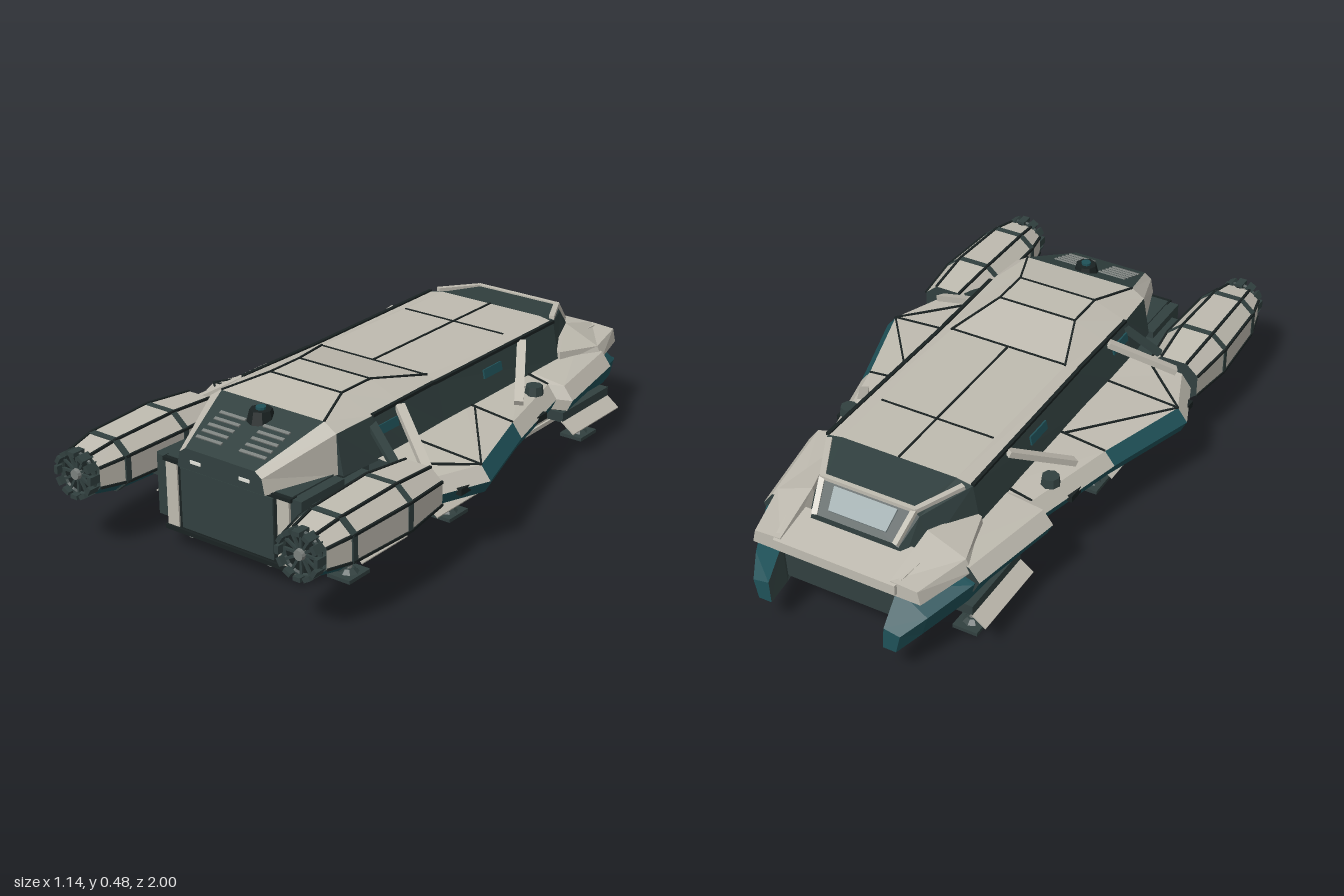
import * as THREE from 'three';

const paint = (name, color) => {
  const m = new THREE.MeshStandardMaterial({ color });
  m.name = name;
  m.flatShading = true;
  return m;
};

export function createModel() {
  const model = new THREE.Group();
  model.name = 'dropship';
  const light = paint('pale hull', 0xbfbbb0), dark = paint('dark hull', 0x31403f);
  const teal = paint('teal trim', 0x1f5158), black = paint('seam black', 0x1a2222);
  const metal = paint('grey metal', 0x7b807d), glass = paint('window glass', 0x8b9a9c);
  const lamp = paint('lamp white', 0xe2e2da);

  const add = (name, geo, mat, x = 0, y = 0, z = 0) => {
    const m = new THREE.Mesh(geo, mat);
    m.name = name;
    m.position.set(x, y, z);
    model.add(m);
    return m;
  };
  const box = (name, mat, w, h, d, x, y, z) => add(name, new THREE.BoxGeometry(w, h, d), mat, x, y, z);
  const cyl = (name, mat, r0, r1, h, n, x, y, z) => add(name, new THREE.CylinderGeometry(r0, r1, h, n), mat, x, y, z);
  // Square bar running between two points
  const bar = (name, mat, a, b, w = 0.006, h = 0.006) => {
    const p = new THREE.Vector3(...a), q = new THREE.Vector3(...b);
    const mid = p.clone().add(q).multiplyScalar(0.5);
    const m = box(name, mat, w, h, p.distanceTo(q), mid.x, mid.y, mid.z);
    m.lookAt(q);
    return m;
  };
  // Closed skin through rings of points; one material per side plus one for the caps
  const loft = (name, rings, sides, cap) => {
    const buckets = new Map();
    let volume = 0;
    const tri = (mat, a, b, c) => {
      if (!buckets.has(mat)) buckets.set(mat, []);
      buckets.get(mat).push([a, b, c]);
      volume += new THREE.Vector3(...a).dot(new THREE.Vector3(...b).cross(new THREE.Vector3(...c)));
    };
    const n = rings[0].length, last = rings[rings.length - 1];
    for (let r = 0; r + 1 < rings.length; r++) for (let i = 0; i < n; i++) {
      const j = (i + 1) % n, A = rings[r], B = rings[r + 1], mat = sides[i % sides.length];
      tri(mat, A[i], A[j], B[j]);
      tri(mat, A[i], B[j], B[i]);
    }
    for (let i = 1; i + 1 < n; i++) {
      tri(cap, rings[0][0], rings[0][i + 1], rings[0][i]);
      tri(cap, last[0], last[i], last[i + 1]);
    }
    const geo = new THREE.BufferGeometry(), pos = [], mats = [...buckets.keys()];
    mats.forEach((mat, k) => {
      const tris = buckets.get(mat);
      geo.addGroup(pos.length / 3, tris.length * 3, k);
      for (const [a, b, c] of tris) pos.push(...a, ...(volume < 0 ? [...c, ...b] : [...b, ...c]));
    });
    geo.setAttribute('position', new THREE.Float32BufferAttribute(pos, 3));
    geo.computeVertexNormals();
    return add(name, geo, mats);
  };
  // Symmetric ring from half-profile [x, y] points, bottom to top
  const sym = (z, pts) => [...pts.map(([x, y]) => [x, y, z]), ...pts.slice().reverse().map(([x, y]) => [-x, y, z])];

  // Cargo hull with loading ramp
  box('cargoHull', dark, 0.49, 0.23, 1.57, 0, 0.19, 0);
  box('rampFrame', black, 0.39, 0.225, 0.008, 0, 0.182, 0.788);
  box('ramp', dark, 0.36, 0.2, 0.012, 0, 0.185, 0.792);
  box('rampSill', black, 0.5, 0.014, 0.03, 0, 0.07, 0.785);
  box('rampLintel', black, 0.5, 0.012, 0.03, 0, 0.297, 0.785);

  // Cabin shell
  const shell = [dark, light, light, light, dark, dark];
  loft('cabin', [
    sym(-0.58, [[0.28, 0.3], [0.255, 0.432], [0.2, 0.442]]),
    sym(0.08, [[0.28, 0.3], [0.25, 0.432], [0.21, 0.445]]),
    sym(0.28, [[0.285, 0.3], [0.25, 0.435], [0.14, 0.48]]),
    sym(0.42, [[0.285, 0.3], [0.255, 0.435], [0.14, 0.48]]),
    sym(0.58, [[0.27, 0.3], [0.245, 0.43], [0.2, 0.458]]),
  ], shell, dark);
  loft('ventBlock', [
    sym(0.58, [[0.25, 0.3], [0.245, 0.43], [0.2, 0.458]]),
    sym(0.82, [[0.17, 0.3], [0.16, 0.35], [0.135, 0.368]]),
  ], [light, light, dark, light, light, dark], dark);

  // Roof seams
  bar('roofSeam', black, [0, 0.443, -0.58], [0, 0.446, 0.08]);
  for (const [z, x, y] of [[-0.36, 0.2, 0.443], [0.085, 0.21, 0.446], [0.28, 0.14, 0.48], [0.42, 0.14, 0.48]]) {
    bar('roofSeam', black, [-x, y, z], [x, y, z]);
  }

  // Vent louvres, lamps and sensor turret
  for (const s of [-1, 1]) {
    for (let i = 0; i < 5; i++) {
      const z = 0.66 + i * 0.027;
      box('louvre', metal, 0.1, 0.006, 0.011, s * 0.085, 0.459 - (z - 0.58) * 0.375, z).rotation.x = 0.36;
    }
    box('lamp', lamp, 0.04, 0.01, 0.008, s * 0.095, 0.33, 0.82);
  }
  cyl('turretBase', black, 0.035, 0.045, 0.04, 8, 0, 0.445, 0.63);
  cyl('turretLens', teal, 0.016, 0.016, 0.01, 10, 0, 0.468, 0.63);

  // Cockpit with wraparound window
  loft('cockpit', [
    sym(-0.58, [[0.28, 0.3], [0.255, 0.432], [0.2, 0.442]]),
    sym(-0.75, [[0.21, 0.3], [0.175, 0.405], [0.15, 0.425]]),
    sym(-0.83, [[0.17, 0.3], [0.15, 0.335], [0.13, 0.345]]),
  ], [dark], dark);
  loft('windscreen', [
    [[-0.11, 0.418, -0.765], [0.11, 0.418, -0.765], [0.11, 0.41, -0.762], [-0.11, 0.41, -0.762]],
    [[-0.1, 0.366, -0.817], [0.1, 0.366, -0.817], [0.1, 0.358, -0.813], [-0.1, 0.358, -0.813]],
  ], [glass], glass);
  bar('browFrame', light, [-0.165, 0.425, -0.75], [0.165, 0.425, -0.75], 0.016, 0.012);

  // Nose deck
  loft('noseDeck', [
    sym(-0.8, [[0.24, 0.27], [0.24, 0.33]]),
    sym(-0.95, [[0.21, 0.27], [0.21, 0.305]]),
  ], [light, light, light, dark], light);
  box('noseBulkhead', dark, 0.42, 0.15, 0.16, 0, 0.22, -0.83);

  for (const s of [-1, 1]) {
    const P = (x, y, z) => [s * x, y, z];
    const side = (s > 0 ? 'left' : 'right');
    const ring = (z, pts) => pts.map(([x, y]) => P(x, y, z));

    // Ramp pillars, cabin edge trim
    box(side + 'RampPillar', light, 0.045, 0.21, 0.02, s * 0.218, 0.185, 0.787);
    bar(side + 'CabinTrim', black, P(0.254, 0.434, -0.58), P(0.25, 0.434, 0.1), 0.012, 0.01);
    bar(side + 'CabinTrim', black, P(0.25, 0.436, 0.1), P(0.255, 0.436, 0.42), 0.012, 0.01);
    bar(side + 'CockpitFrame', light, P(0.235, 0.437, -0.6), P(0.16, 0.424, -0.75), 0.018, 0.014);
    bar(side + 'CockpitFrame', light, P(0.16, 0.424, -0.75), P(0.14, 0.343, -0.83), 0.018, 0.014);
    for (const z of [-0.2, 0.36]) {
      box(side + 'SidePlate', teal, 0.006, 0.03, 0.1, s * 0.268, 0.385, z).rotation.z = s * 0.2;
    }
    bar(side + 'RoofSeam', black, P(0.21, 0.447, 0.08), P(0.14, 0.481, 0.28));
    bar(side + 'RoofSeam', black, P(0.14, 0.481, 0.28), P(0.14, 0.481, 0.42));
    bar(side + 'RoofSeam', black, P(0.14, 0.481, 0.42), P(0.2, 0.459, 0.58));

    // Nose shoulder and forward prong
    loft(side + 'Shoulder', [
      ring(-0.58, [[0.25, 0.29], [0.29, 0.29], [0.285, 0.33], [0.26, 0.34]]),
      ring(-0.75, [[0.18, 0.29], [0.35, 0.27], [0.33, 0.31], [0.2, 0.365]]),
      ring(-0.94, [[0.18, 0.26], [0.29, 0.26], [0.28, 0.305], [0.19, 0.31]]),
    ], [dark, light, light, light], light);
    loft(side + 'Prong', [
      ring(-0.6, [[0.24, 0.19], [0.37, 0.19], [0.38, 0.25], [0.27, 0.29]]),
      ring(-0.77, [[0.2, 0.17], [0.345, 0.17], [0.365, 0.24], [0.24, 0.28]]),
      ring(-0.92, [[0.19, 0.13], [0.28, 0.13], [0.3, 0.2], [0.2, 0.27]]),
      ring(-1, [[0.195, 0.105], [0.24, 0.105], [0.255, 0.17], [0.2, 0.18]]),
    ], [dark, teal, teal, dark], teal);

    // Side sponson, one segment between each pair of stations
    const stations = [[-0.76, 0.38], [-0.42, 0.44], [-0.4, 0.39], [-0.07, 0.47], [0.25, 0.57], [0.43, 0.5]];
    const section = ([z, x]) => ring(z, [[0.25, 0.31], [x - 0.035, 0.29], [x, 0.245], [x - 0.02, 0.205], [0.25, 0.18]]);
    for (let i = 0; i < 5; i++) {
      const edge = i === 3 ? teal : light;
      loft(side + 'Sponson', [section(stations[i]), section(stations[i + 1])], [light, edge, i === 1 ? light : teal, dark, dark], dark);
    }
    for (const [z, x] of stations.slice(2, 5)) bar(side + 'SponsonSeam', black, P(0.27, 0.31, z), P(x - 0.035, 0.291, z));
    bar(side + 'SponsonSeam', black, P(0.29, 0.308, -0.07), P(0.535, 0.291, 0.25));
    bar(side + 'SponsonSeam', black, P(0.535, 0.291, 0.25), P(0.34, 0.306, 0.43));
    cyl(side + 'SponsonHatch', dark, 0.028, 0.032, 0.03, 8, s * 0.365, 0.308, -0.3);
    for (const [z, x] of [[0.33, 0.54], [-0.25, 0.43]]) box(side + 'SponsonVent', black, 0.02, 0.022, 0.06, s * (x - 0.01), 0.24, z);

    // Bracing struts
    bar(side + 'RearStrut', light, P(0.26, 0.425, -0.38), P(0.385, 0.305, -0.18), 0.03, 0.02);
    bar(side + 'FrontStrut', light, P(0.26, 0.425, 0.29), P(0.45, 0.31, 0.41), 0.03, 0.02);
    bar(side + 'InnerBrace', dark, P(0.25, 0.41, 0.42), P(0.37, 0.32, 0.46), 0.03, 0.015);

    // Engine nacelle
    const cx = 0.433, cy = 0.26;
    const oct = (z, k) => ring(z, [[-0.055, -0.09], [0.055, -0.09], [0.107, -0.045], [0.107, 0.045], [0.055, 0.09],
      [-0.055, 0.09], [-0.107, 0.045], [-0.107, -0.045]].map(([x, y]) => [cx + x * k, cy + y * k]));
    const hullRings = [oct(0.43, 0.82), oct(0.61, 1), oct(0.86, 0.92), oct(0.96, 0.72)];
    loft(side + 'Nacelle', hullRings, [dark, teal, light, light, light, light, light, teal], dark);
    for (const [z, k] of [[0.6, 1.015], [0.85, 0.945]]) {
      loft(side + 'NacelleBand', [oct(z, k), oct(z + 0.022, k)], [dark], dark);
    }
    for (let i = 2; i < 8; i++) for (let r = 0; r < 3; r++) {
      bar(side + 'NacelleSeam', black, hullRings[r][i], hullRings[r + 1][i], 0.008, 0.008);
    }
    // Nozzle with petals and fan
    const disc = cyl(side + 'NozzleThroat', black, 0.068, 0.068, 0.02, 16, s * cx, cy, 0.96);
    disc.rotation.x = Math.PI / 2;
    add(side + 'NozzleRing', new THREE.TorusGeometry(0.068, 0.008, 6, 16), dark, s * cx, cy, 0.972);
    cyl(side + 'NozzleHub', metal, 0.016, 0.02, 0.025, 12, s * cx, cy, 0.978).rotation.x = Math.PI / 2;
    for (let i = 0; i < 12; i++) {
      const a = i * Math.PI / 6, u = Math.cos(a), v = Math.sin(a);
      const at = (r, z) => [s * cx + u * r, cy + v * r, z];
      bar(side + 'FanBlade', dark, at(0.018, 0.975), at(0.066, 0.975), 0.008, 0.008);
      box(side + 'NozzlePetal', dark, 0.014, 0.026, 0.045, ...at(0.07, 0.977)).rotation.z = a;
    }
    box(side + 'EngineMount', dark, 0.14, 0.08, 0.28, s * 0.3, 0.235, 0.6);
    box(side + 'MountPlate', dark, 0.04, 0.2, 0.2, s * 0.262, 0.2, 0.69);

    // Landing gear bays, doors and feet
    for (const [z, len, foot] of [[0.56, 0.22, 0.61], [0.17, 0.25, 0.1], [-0.63, 0.29, -0.68]]) {
      box(side + 'GearBay', dark, 0.13, 0.035, len, s * 0.3, 0.142, z);
      box(side + 'GearBayWall', light, 0.012, 0.07, len, s * 0.25, 0.115, z);
      loft(side + 'GearDoor', [z - len / 2, z + len / 2].map((q) =>
        ring(q, [[0.36, 0.132], [0.41, 0.095], [0.408, 0.09], [0.358, 0.126]])), [light], light);
      cyl(side + 'GearLeg', dark, 0.018, 0.018, 0.08, 8, s * 0.31, 0.1, foot);
      cyl(side + 'GearPiston', metal, 0.011, 0.011, 0.06, 8, s * 0.31, 0.04, foot);
      box(side + 'FootPad', dark, 0.085, 0.012, 0.1, s * 0.31, 0.006, foot);
      cyl(side + 'FootCollar', dark, 0.018, 0.034, 0.014, 8, s * 0.31, 0.018, foot);
    }
    // Belly skids
    box(side + 'Skid', metal, 0.015, 0.016, 1.58, s * 0.155, 0.062, 0);
    box(side + 'BellyRail', light, 0.012, 0.014, 1.58, s * 0.247, 0.064, 0);
    box(side + 'KeelStep', dark, 0.04, 0.05, 1.35, s * 0.262, 0.185, -0.05);
  }

  // Belly plate and cross ribs
  box('bellyPlate', black, 0.48, 0.006, 1.56, 0, 0.073, 0);
  for (let i = 0; i < 9; i++) box('bellyRib', dark, 0.48, 0.01, 0.014, 0, 0.067, -0.76 + i * 0.19);
  return model;
}
